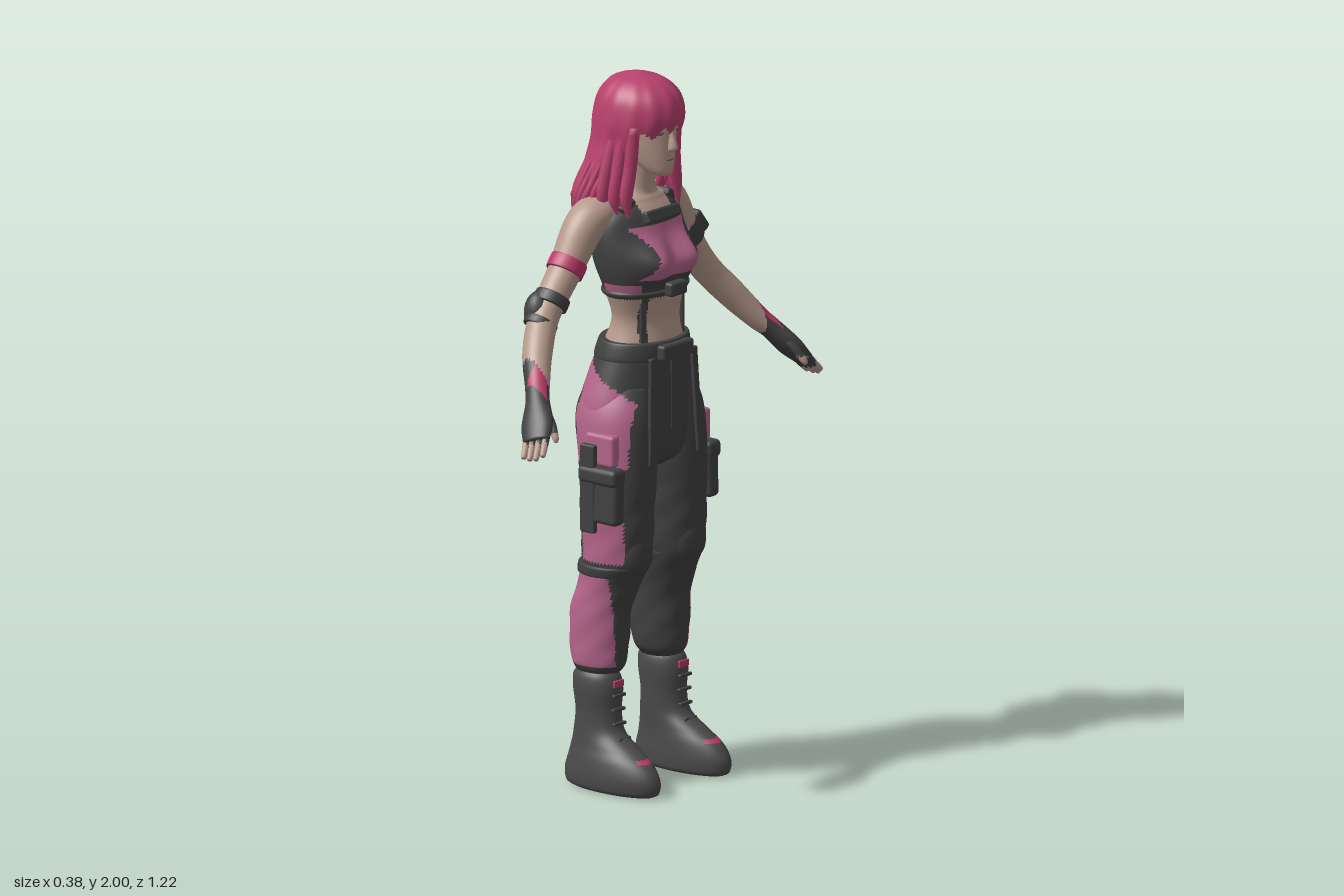
import * as THREE from 'three';
import { RoundedBoxGeometry } from 'three/addons/geometries/RoundedBoxGeometry.js';

const mat = (name, color, side = THREE.FrontSide) => {
  const m = new THREE.MeshStandardMaterial({ color, side });
  m.name = name;
  return m;
};
const skin = mat('skin', 0xb6998b), dark = mat('charcoal cloth', 0x414141), pink = mat('dusty pink cloth', 0xb4658a);
const rose = mat('bright rose cloth', 0xb83a68), hairMat = mat('hair', 0xb8416c, THREE.DoubleSide);
const boots = mat('boot leather', 0x4a4a4a), shade = mat('eye shade', 0x75605a);
const PALETTE = [skin, dark, pink, rose, hairMat, boots];
const V = (x, y, z) => new THREE.Vector3(x, y, z);

// Smooth skin over elliptical sections [x, y, z, rx, rz], listed bottom to top.
// pick(point, angle) chooses the material of each face, or null for a hole.
function loft(name, sections, pick, { n = 24, rows = 24, tilt = false, mod = null } = {}) {
  const centres = new THREE.CatmullRomCurve3(sections.map(s => V(s[0], s[1], s[2])), false, 'catmullrom');
  const radii = new THREE.CatmullRomCurve3(sections.map(s => V(s[3], s[4], 0)), false, 'catmullrom');
  const pts = [], faces = new Map();
  for (let i = 0; i <= rows; i++) {
    const c = centres.getPoint(i / rows), r = radii.getPoint(i / rows);
    const t = centres.getTangent(i / rows);
    const u = tilt ? t.clone().cross(V(0, 0, 1)).normalize() : V(1, 0, 0);
    const v = tilt ? u.clone().cross(t) : V(0, 0, 1);
    for (let j = 0; j < n; j++) {
      const a = j / n * Math.PI * 2;
      const p = c.clone().addScaledVector(u, Math.cos(a) * r.x).addScaledVector(v, Math.sin(a) * r.y);
      if (mod) mod(p, a, c);
      pts.push(p);
    }
  }
  pts.push(centres.getPoint(0), centres.getPoint(1));
  const add = (a, b, c) => {
    const mid = pts[a].clone().add(pts[b]).add(pts[c]).divideScalar(3);
    const m = pick.isMaterial ? pick : pick(mid);
    if (!m) return;
    if (!faces.has(m)) faces.set(m, []);
    faces.get(m).push(a, b, c);
  };
  const base = rows * n;
  for (let j = 0; j < n; j++) {
    const k = (j + 1) % n;
    for (let i = 0; i < rows; i++) {
      const a = i * n + j, b = i * n + k;
      add(a, a + n, b);
      add(b, a + n, b + n);
    }
    add(pts.length - 2, j, k);
    add(pts.length - 1, base + k, base + j);
  }
  const geo = new THREE.BufferGeometry().setFromPoints(pts);
  const index = [], mats = PALETTE.filter(m => faces.has(m));
  mats.forEach((m, i) => {
    geo.addGroup(index.length, faces.get(m).length, i);
    for (const f of faces.get(m)) index.push(f);
  });
  geo.setIndex(index);
  geo.computeVertexNormals();
  const mesh = new THREE.Mesh(geo, mats);
  mesh.name = name;
  return mesh;
}
function box(name, m, size, pos, rot = [0, 0, 0]) {
  const mesh = new THREE.Mesh(new RoundedBoxGeometry(...size, 2, Math.min(...size) * 0.3), m);
  mesh.name = name;
  mesh.position.set(...pos);
  mesh.rotation.set(...rot);
  return mesh;
}
function ball(name, m, size, pos) {
  const mesh = new THREE.Mesh(new THREE.SphereGeometry(1, 20, 14), m);
  mesh.name = name;
  mesh.scale.set(...size);
  mesh.position.set(...pos);
  return mesh;
}

// Clothing colour rules
function topColour({ x, y, z }) {
  const ax = Math.abs(x);
  if (y > 1.652) return skin;
  if (z > 0 && y > 1.6 && ax < 0.062) return skin;
  if (y < 1.25) return dark;
  if (y < 1.39) return z > 0 && ax > 0.072 && ax < 0.092 ? dark : z < -0.02 && ax < 0.02 ? dark : skin;
  if (y < 1.445) return z > -0.01 && ax > 0.1 && y > 1.4 && y < 1.432 ? pink : dark;
  if (z > 0 && y < 1.588 && ax < 0.075 + 0.035 * ((y - 1.515) / 0.065) ** 2) return pink;
  if (z < 0 && y < 1.56 && ax < 0.055) return pink;
  return dark;
}
const pantsColour = s => ({ x, y, z }) => {
  const out = x * s, rag = 0.006 * Math.sin(y * 70);
  if (y > 0.92) return out > 0.105 + rag && z > -0.085 + rag && z < 0.1 && y < 1.21 - (z + 0.08) * 0.6 ? pink : dark;
  if (y > 0.78) return out > 0.14 && z > -0.05 + rag && z < 0.03 ? pink : dark;
  if (y > 0.65) {
    if (out > 0.15 + rag && z > -0.05 && z < 0.09) return pink;
    return out < 0.12 && z < 0.02 && y > 0.68 && y < 0.71 ? pink : dark;
  }
  if (y > 0.35 && y < 0.61) return out > 0.15 + rag && z > -0.11 && z < 0.045 ? (s > 0 ? rose : pink) : dark;
  return dark;
};

function buildHead() {
  const g = new THREE.Group();
  g.name = 'head';
  g.add(loft('face', [[0, 1.722, 0.08, 0.018, 0.02], [0, 1.735, 0.065, 0.035, 0.045], [0, 1.77, 0.04, 0.053, 0.073],
    [0, 1.82, 0.022, 0.066, 0.092], [0, 1.88, 0.01, 0.072, 0.104], [0, 1.95, 0, 0.06, 0.09]], skin));
  g.add(loft('nose', [[0, 1.795, 0.113, 0.011, 0.012], [0, 1.808, 0.116, 0.013, 0.018], [0, 1.855, 0.108, 0.006, 0.008]], skin, { n: 12, rows: 8 }));
  g.add(ball('lips', shade, [0.017, 0.004, 0.006], [0, 1.77, 0.108]));
  for (const s of [-1, 1]) g.add(ball('eye', shade, [0.016, 0.006, 0.006], [s * 0.03, 1.848, 0.102]));

  // Hair shell with an open face and a ragged fringe
  g.add(loft('hair', [[0, 1.6, -0.085, 0.135, 0.085], [0, 1.66, -0.07, 0.145, 0.1], [0, 1.73, -0.045, 0.132, 0.112],
    [0, 1.81, -0.018, 0.118, 0.122], [0, 1.88, -0.002, 0.117, 0.132], [0, 1.94, 0, 0.104, 0.118],
    [0, 1.98, -0.005, 0.068, 0.078], [0, 2.0, -0.008, 0.012, 0.015]],
  ({ x, y, z }) => {
    const fringe = 1.862 + 0.012 * Math.sin(x * 130) - Math.abs(x) * 0.25;
    if (y < fringe && z > 0.05 && Math.abs(x) < 0.115) return null;
    if (y < 1.76 && z > -0.01 && Math.abs(x) < 0.078) return null;
    return y < 1.602 ? null : hairMat;
  }, { n: 120, rows: 70, mod: (p, a, c) => {
    const f = 1 + (0.012 + 0.14 * Math.max(0, 1.82 - p.y)) * Math.sin(a * 13 + p.y * 9);
    p.x = c.x + (p.x - c.x) * f;
    p.z = c.z + (p.z - c.z) * f;
  } }));
  // Loose lock ends
  for (let i = 0; i < 22; i++) {
    const a = Math.PI * (0.78 + 1.44 * i / 21) , w = 0.5 + 0.5 * Math.sin(i * 2.4);
    const x = Math.cos(a + 0.0), z = Math.sin(a);
    const tip = 1.545 + 0.05 * w;
    g.add(loft('hairLock', [[x * 0.14, tip, -0.085 + z * 0.098, 0.002, 0.002], [x * 0.14, tip + 0.05, -0.083 + z * 0.088, 0.013, 0.011],
      [x * 0.138, 1.67, -0.07 + z * 0.094, 0.02, 0.015], [x * 0.12, 1.76, -0.04 + z * 0.1, 0.008, 0.006]], hairMat, { n: 8, rows: 10 }));
  }
  // Front locks framing the face
  for (const s of [-1, 1]) for (let k = 0; k < 3; k++)
    g.add(loft('frontLock', [[s * (0.105 + k * 0.015), 1.61 + k * 0.012, 0.05 - k * 0.03, 0.003, 0.003],
      [s * (0.105 + k * 0.014), 1.67, 0.04 - k * 0.03, 0.02, 0.016], [s * (0.092 + k * 0.012), 1.76, 0.045 - k * 0.03, 0.02, 0.018],
      [s * 0.09, 1.87, 0.055 - k * 0.03, 0.017, 0.018]], hairMat, { n: 10, rows: 16 }));
  return g;
}

function buildArm(s) {
  const g = new THREE.Group();
  g.name = s > 0 ? 'leftArm' : 'rightArm';
  const put = (name, secs, pick, o) => g.add(loft(name, secs.map(q => [q[0] * s, ...q.slice(1)]), pick, { tilt: true, ...o }));
  put('armAndGlove', [[0.568, 1.088, 0.108, 0.017, 0.04], [0.535, 1.128, 0.085, 0.026, 0.048], [0.495, 1.18, 0.052, 0.029, 0.034],
    [0.465, 1.213, 0.026, 0.033, 0.035], [0.41, 1.285, -0.02, 0.04, 0.042], [0.338, 1.37, -0.055, 0.042, 0.043],
    [0.255, 1.475, -0.055, 0.046, 0.048], [0.185, 1.58, -0.05, 0.056, 0.056], [0.135, 1.618, -0.043, 0.052, 0.058], [0.08, 1.625, -0.03, 0.035, 0.045]],
  p => p.x * s > 0.462 ? (p.x * s < 0.5 && p.y + p.x * s > 1.685 && p.z > 0.015 ? rose : dark) : skin, { n: 32, rows: 80 });
  // Half-gloved fingers and thumb
  for (let k = 0; k < 4; k++) {
    const o = (k - 1.5) * 0.02, len = [0.85, 1, 1.05, 0.92][k];
    const at = d => [0.565 - 0.23 * o * 1.1 + 0.036 * d * len, 1.09 + 0.26 * o - 0.042 * d * len, 0.106 + 0.93 * o + 0.018 * d * len];
    put('finger', [[...at(1.05), 0.004, 0.004], [...at(0.95), 0.008, 0.008], [...at(0.4), 0.01, 0.01], [...at(-0.2), 0.011, 0.011]],
      p => p.x * s > at(0.35)[0] ? skin : dark, { n: 10, rows: 12 });
  }
  put('thumb', [[0.53, 1.085, 0.148, 0.005, 0.005], [0.527, 1.098, 0.142, 0.01, 0.01], [0.515, 1.135, 0.115, 0.013, 0.013],
    [0.507, 1.165, 0.08, 0.014, 0.014]], p => p.y < 1.11 ? skin : dark, { n: 10, rows: 12 });
  const band = (name, m, t0, t1, r) => {
    const at = t => [0.338 - 0.083 * t, 1.37 + 0.105 * t, -0.055];
    put(name, [[...at(t0), r - 0.005, r - 0.005], [...at(t0 + 0.02), r, r], [...at(t1 - 0.02), r, r], [...at(t1), r - 0.005, r - 0.005]], m, { rows: 12 });
  };
  if (s > 0) {
    band('armband', dark, 0.92, 1.38, 0.056);
    g.add(box('armbandPouch', dark, [0.03, 0.07, 0.075], [0.285, 1.515, -0.05], [0, 0, 0.67]));
  } else {
    band('armband', rose, 0.98, 1.28, 0.053);
    band('elbowStrap', dark, 0.22, 0.46, 0.05);
    band('elbowStrap', dark, -0.3, -0.12, 0.047);
    g.add(ball('elbowPad', dark, [0.045, 0.062, 0.04], [-0.34, 1.375, -0.073]));
  }
  return g;
}

function buildLeg(s) {
  const g = new THREE.Group();
  g.name = s > 0 ? 'leftLeg' : 'rightLeg';
  const put = (name, secs, pick, o) => g.add(loft(name, secs.map(q => [q[0] * s, ...q.slice(1)]), pick, o));
  // Trouser leg with soft folds
  put('trouserLeg', [[0.132, 0.325, -0.035, 0.05, 0.06], [0.13, 0.355, -0.035, 0.065, 0.08], [0.128, 0.42, -0.035, 0.071, 0.089],
    [0.126, 0.5, -0.032, 0.073, 0.09], [0.118, 0.58, -0.008, 0.078, 0.092], [0.113, 0.66, 0.013, 0.086, 0.102],
    [0.111, 0.78, 0.014, 0.091, 0.108], [0.106, 0.92, 0.012, 0.097, 0.115], [0.1, 1.05, 0, 0.095, 0.12], [0.085, 1.14, 0, 0.075, 0.1]],
  pantsColour(s), { n: 60, rows: 100, mod: (p, a, c) => {
    const fold = p.y < 0.85 ? 0.018 * Math.sin(p.y * 55 + a * 2) * Math.sin(a * 3 + p.y * 11) : 0;
    p.x += (p.x - c.x) * fold;
    p.z += (p.z - c.z) * fold;
  } });
  put('kneePad', [[0.113, 0.6, 0.06, 0.035, 0.03], [0.113, 0.64, 0.065, 0.06, 0.052], [0.113, 0.7, 0.065, 0.06, 0.056],
    [0.113, 0.74, 0.065, 0.035, 0.045]], dark, { rows: 16 });
  put('kneeStrap', [[0.118, 0.61, -0.003, 0.084, 0.095], [0.118, 0.615, -0.002, 0.086, 0.098], [0.117, 0.635, 0.005, 0.089, 0.102],
    [0.116, 0.64, 0.005, 0.086, 0.1]], dark, { n: 36, rows: 8 });
  // Boot
  put('boot', [[0.15, 0.004, 0.03, 0.05, 0.14], [0.15, 0.015, 0.03, 0.063, 0.158], [0.15, 0.05, 0.03, 0.066, 0.161],
    [0.148, 0.09, 0.022, 0.062, 0.142], [0.144, 0.125, 0, 0.056, 0.112], [0.14, 0.165, -0.025, 0.053, 0.08],
    [0.138, 0.22, -0.03, 0.053, 0.07], [0.138, 0.28, -0.032, 0.057, 0.076], [0.138, 0.315, -0.035, 0.054, 0.073], [0.138, 0.335, -0.035, 0.045, 0.06]],
  p => p.z > 0.02 && p.y > 0.095 && p.y < 0.106 && Math.abs(p.x * s - 0.145) < 0.03 ? rose : boots, { n: 40, rows: 60 });
  for (const [y, z] of [[0.15, 0.062], [0.19, 0.045], [0.23, 0.042], [0.27, 0.044]])
    g.add(box('bootLace', dark, [0.05, 0.009, 0.012], [s * 0.14, y, z]));
  g.add(box('bootTongue', rose, [0.04, 0.02, 0.008], [s * 0.138, 0.302, 0.04]));
  // Cargo pouch with flap, hanging strap and belt strap
  g.add(box('cargoPouch', dark, [0.045, 0.15, 0.13], [s * 0.2, 0.845, 0.035], [0, 0, s * 0.03]));
  g.add(box('pouchFlap', dark, [0.055, 0.05, 0.135], [s * 0.203, 0.905, 0.035]));
  g.add(box('pouchStrap', dark, [0.018, 0.25, 0.05], [s * 0.217, 0.865, 0]));
  g.add(box('thighPocket', pink, [0.035, 0.09, 0.1], [s * 0.193, 0.975, 0.03]));
  g.add(box('frontStrap', dark, [0.022, 0.3, 0.012], [s * 0.095, 1.075, 0.123], [-0.03, 0, s * 0.05]));
  return g;
}

export function createModel() {
  const model = new THREE.Group();
  model.name = 'woman';
  const body = new THREE.Group();
  body.name = 'body';
  body.rotation.y = Math.PI / 2;
  model.add(body);

  // Torso, neck and cropped top
  body.add(loft('torso', [[0, 1.16, 0, 0.15, 0.11], [0, 1.24, 0.015, 0.132, 0.098], [0, 1.32, 0.022, 0.112, 0.078],
    [0, 1.4, 0.02, 0.136, 0.092], [0, 1.48, 0.005, 0.158, 0.105], [0, 1.56, -0.012, 0.162, 0.1], [0, 1.615, -0.018, 0.145, 0.09],
    [0, 1.65, -0.018, 0.1, 0.068], [0, 1.68, -0.008, 0.05, 0.048], [0, 1.78, 0.012, 0.043, 0.045]], topColour,
  { n: 80, rows: 96, mod: p => {
    if (p.z > 0) p.z += 0.05 * Math.exp(-(((Math.abs(p.x) - 0.07) / 0.055) ** 2) - ((p.y - 1.49) / 0.055) ** 2);
  } }));
  body.add(loft('underbustStrap', [[0, 1.39, 0.02, 0.136, 0.093], [0, 1.395, 0.02, 0.142, 0.1], [0, 1.404, 0.02, 0.144, 0.102],
    [0, 1.41, 0.02, 0.138, 0.093]], dark, { n: 48, rows: 8 }));
  body.add(box('underbustBuckle', dark, [0.07, 0.04, 0.03], [0, 1.41, 0.13]));
  body.add(box('collarStrap', dark, [0.14, 0.035, 0.025], [0, 1.61, 0.077], [-0.4, 0, 0]));
  for (const s of [-1, 1]) {
    body.add(box('shoulderStrap', dark, [0.05, 0.022, 0.13], [s * 0.092, 1.643, -0.02], [0, 0, -s * 0.45]));
    body.add(box('waistStrap', dark, [0.018, 0.15, 0.012], [s * 0.083, 1.32, 0.082], [0, s * 0.5, 0]));
  }

  // Hips and belt
  body.add(loft('hips', [[0, 0.9, 0.01, 0.08, 0.06], [0, 0.93, 0.008, 0.15, 0.1], [0, 0.99, 0, 0.19, 0.122], [0, 1.08, -0.008, 0.187, 0.13],
    [0, 1.16, 0, 0.165, 0.122], [0, 1.22, 0.01, 0.146, 0.111], [0, 1.26, 0.015, 0.135, 0.103]],
  p => pantsColour(Math.sign(p.x) || 1)(p), { n: 72, rows: 50 }));
  body.add(loft('belt', [[0, 1.212, 0.01, 0.146, 0.11], [0, 1.217, 0.01, 0.152, 0.117], [0, 1.258, 0.015, 0.142, 0.11],
    [0, 1.263, 0.015, 0.135, 0.103]], dark, { n: 48, rows: 12 }));
  body.add(box('beltBuckle', dark, [0.13, 0.045, 0.03], [0, 1.235, 0.128]));
  body.add(box('trouserFly', dark, [0.025, 0.2, 0.012], [0, 1.11, 0.119]));

  body.add(buildHead());
  for (const s of [-1, 1]) body.add(buildArm(s), buildLeg(s));
  return model;
}
